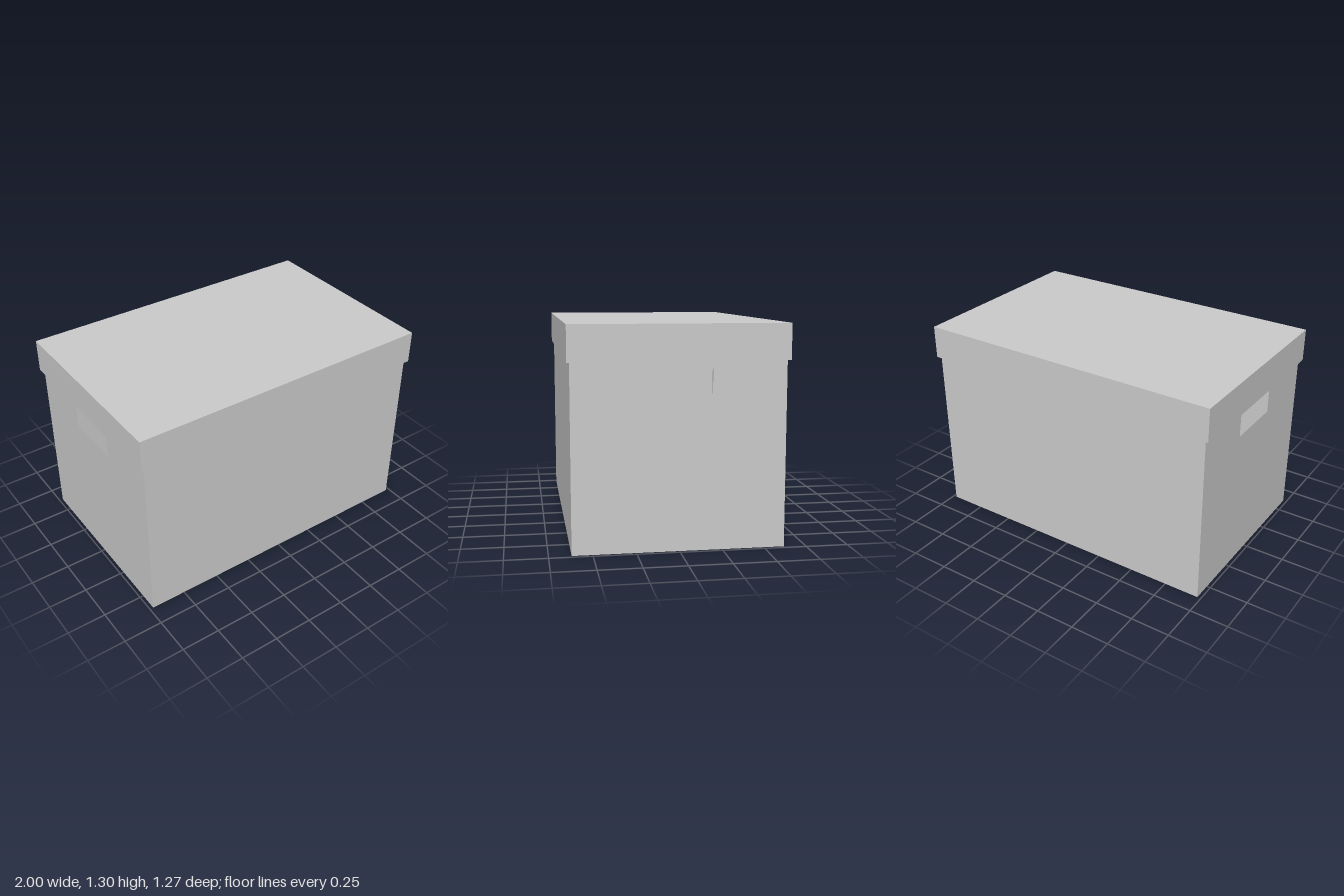
import * as THREE from 'three';

const BODY = { x: 0.977, z: 0.62, top: 1.285 };
const LID = { x: 1, z: 0.636, bottom: 1.094, top: 1.305, panel: 0.015 };
const HANDLE = { z: 0.188, bottom: 0.91, top: 1.055 };

// Traces a rectangle as a Shape or a Path
function rect(Type, x0, y0, x1, y1) {
  return new Type([[x0, y0], [x1, y0], [x1, y1], [x0, y1]].map(([x, y]) => new THREE.Vector2(x, y)));
}

export function createModel() {
  const group = new THREE.Group();
  const card = new THREE.MeshStandardMaterial({ color: 0xcccccc, side: THREE.DoubleSide });
  const add = (name, geometry, parent) => {
    const mesh = new THREE.Mesh(geometry, card);
    mesh.name = name;
    parent.add(mesh);
    return mesh;
  };

  // Box body: thin sheets, open at the top
  const body = new THREE.Group();
  body.name = 'body';
  group.add(body);
  add('floor', new THREE.PlaneGeometry(BODY.x * 2, BODY.z * 2).rotateX(Math.PI / 2), body);

  for (const side of [1, -1]) {
    // Long front and back walls
    const wall = add(side > 0 ? 'frontWall' : 'backWall', new THREE.PlaneGeometry(BODY.x * 2, BODY.top), body);
    wall.position.set(0, BODY.top / 2, side * BODY.z);
    wall.rotation.y = side > 0 ? 0 : Math.PI;

    // End walls with a cut-out hand hole
    const shape = rect(THREE.Shape, -BODY.z, 0, BODY.z, BODY.top);
    shape.holes.push(rect(THREE.Path, -HANDLE.z, HANDLE.bottom, HANDLE.z, HANDLE.top));
    const end = add(side > 0 ? 'leftHandleWall' : 'rightHandleWall', new THREE.ShapeGeometry(shape), body);
    end.position.x = side * BODY.x;
    end.rotation.y = side * Math.PI / 2;
  }

  // Lid: a rim fitted around the body, closed by a flat top panel
  const lid = new THREE.Group();
  lid.name = 'lid';
  group.add(lid);
  const gap = 0.002;
  const rimShape = rect(THREE.Shape, -LID.x, -LID.z, LID.x, LID.z);
  rimShape.holes.push(rect(THREE.Path, -BODY.x - gap, -BODY.z - gap, BODY.x + gap, BODY.z + gap));
  const depth = LID.top - LID.panel - LID.bottom;
  const rim = add('lidRim', new THREE.ExtrudeGeometry(rimShape, { depth, bevelEnabled: false }), lid);
  rim.rotation.x = -Math.PI / 2;
  rim.position.y = LID.bottom;
  const panel = add('lidTop', new THREE.BoxGeometry(LID.x * 2, LID.panel, LID.z * 2), lid);
  panel.position.y = LID.top - LID.panel / 2;

  return group;
}
